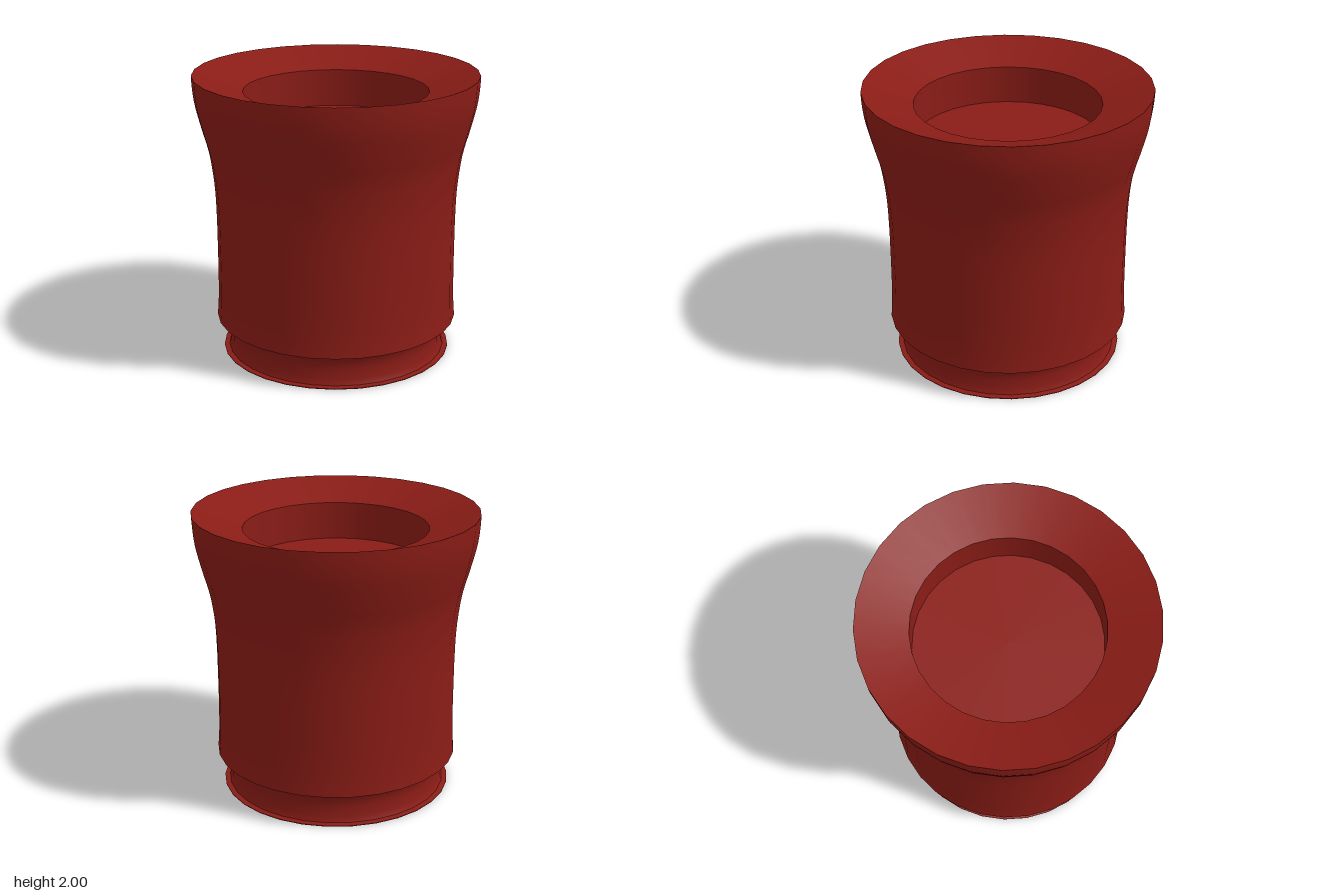
import * as THREE from 'three';

const SEGMENTS = 30;

export function createModel() {
  const group = new THREE.Group();
  group.name = 'flaredCup';
  const material = new THREE.MeshStandardMaterial({ color: 0x8a1c16 });

  // Each section is its own lathe, so the joins between sections stay sharp.
  const addSection = (name, profile) => {
    const points = profile.map(([r, y]) => new THREE.Vector2(r, y));
    const mesh = new THREE.Mesh(new THREE.LatheGeometry(points, SEGMENTS), material);
    mesh.name = name;
    group.add(mesh);
  };

  // Samples a smooth curve through a few profile points.
  const smooth = (profile, count) =>
    new THREE.SplineCurve(profile.map(([r, y]) => new THREE.Vector2(r, y)))
      .getPoints(count)
      .map((p) => [p.x, p.y]);

  // Thin foot plate
  addSection('baseUnderside', [[0, 0], [0.815, 0]]);
  addSection('baseEdge', [[0.815, 0], [0.815, 0.005]]);
  addSection('baseTop', [[0.815, 0.005], [0.778, 0.01]]);

  // Concave neck above the foot and the sharp lip over it
  addSection('neckGroove', smooth([
    [0.778, 0.01], [0.766, 0.05], [0.76, 0.12], [0.767, 0.17],
    [0.785, 0.21], [0.815, 0.235], [0.858, 0.245],
  ], 18));

  // Straight body flaring out to the rim
  addSection('body', smooth([
    [0.858, 0.245], [0.849, 0.36], [0.844, 0.55], [0.843, 0.8], [0.844, 1.0],
    [0.851, 1.2], [0.874, 1.4], [0.9, 1.52], [0.923, 1.6], [0.968, 1.78],
    [0.985, 1.9], [0.99, 2],
  ], 32));

  // Sloping rim, recess wall and recess floor
  addSection('rim', [[0.99, 2], [0.643, 1.88]]);
  addSection('recessWall', [[0.643, 1.88], [0.643, 1.61]]);
  addSection('recessFloor', [[0.643, 1.61], [0, 1.61]]);

  return group;
}
